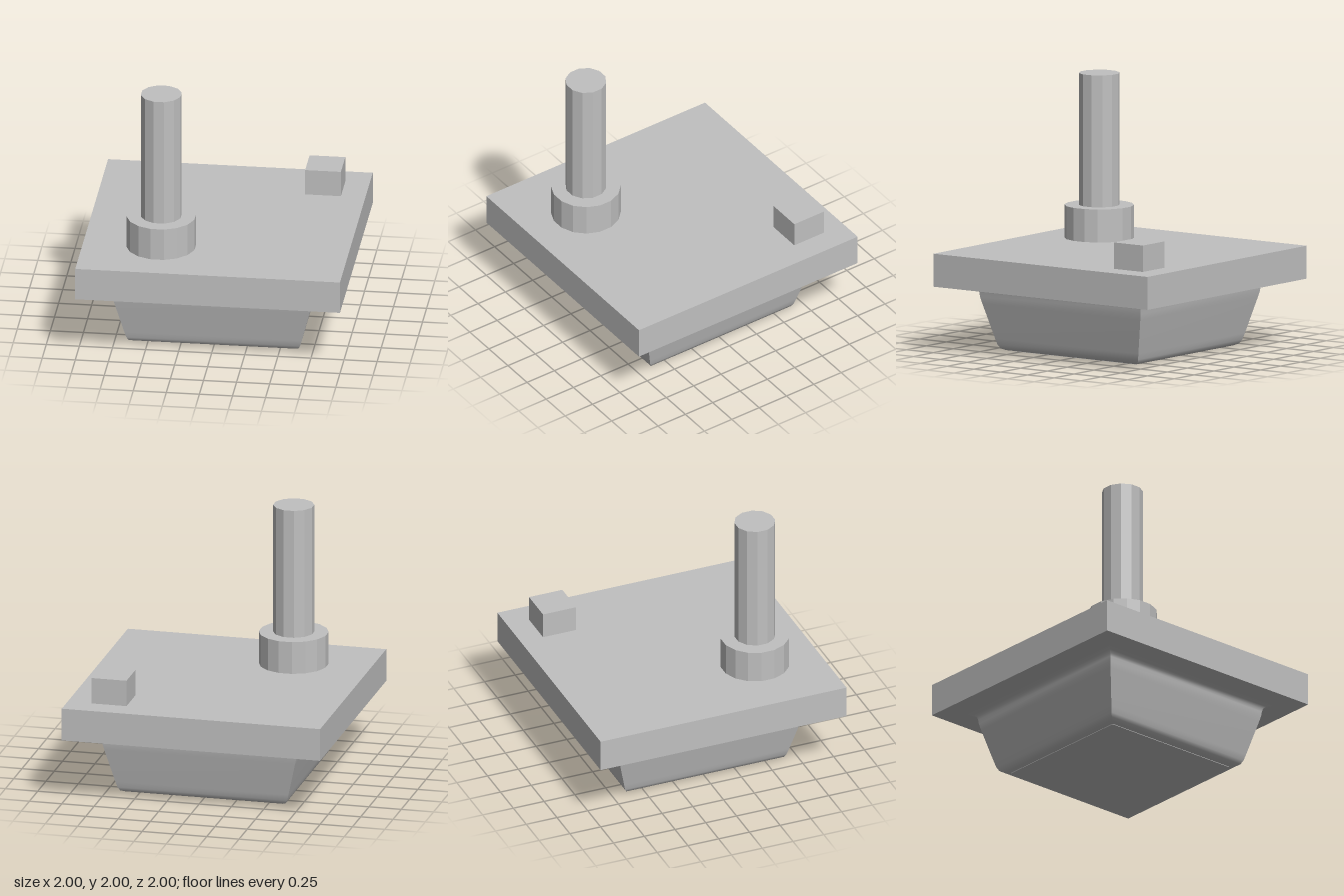
import * as THREE from 'three';

export function createModel() {
  const model = new THREE.Group();
  const grey = new THREE.MeshStandardMaterial({ color: 0xc0c0c0 });
  grey.name = 'plain grey';

  const add = (name, geometry, x = 0, y = 0, z = 0) => {
    const mesh = new THREE.Mesh(geometry, grey);
    mesh.name = name;
    mesh.position.set(x, y, z);
    model.add(mesh);
    return mesh;
  };

  // Faceted upright cylinder with a flat side facing each axis
  const prism = (radius, height, sides) => {
    const g = new THREE.CylinderGeometry(radius, radius, height, sides, 1, false, Math.PI / sides).toNonIndexed();
    g.computeVertexNormals();
    return g;
  };

  // Square plate with the small block in its back left corner
  add('plate', new THREE.BoxGeometry(2, 0.25, 2), 0, 0.625, 0);
  add('cornerBlock', new THREE.BoxGeometry(0.27, 0.2, 0.27), 0.68, 0.85, -0.685);

  // Collar and post
  add('collar', prism(0.262, 0.25, 16), -0.412, 0.875, 0.5);
  add('post', prism(0.155, 1, 12), -0.412, 1.5, 0.5);

  // Tapered basin below the plate: half width and height along its profile
  const profile = [
    [0.58, 0.004], [0.612, 0.008], [0.64, 0.022], [0.656, 0.05], [0.67, 0.1],
    [0.738, 0.365], [0.75, 0.415], [0.754, 0.45], [0.76, 0.475], [0.777, 0.492], [0.82, 0.502],
  ];
  const positions = [];
  const indices = [];
  profile.forEach(([w, y], i) => {
    positions.push(-w, y, w, w, y, w);
    if (i > 0) {
      const a = 2 * (i - 1);
      indices.push(a, a + 1, a + 3, a, a + 3, a + 2);
    }
  });
  const side = new THREE.BufferGeometry();
  side.setAttribute('position', new THREE.Float32BufferAttribute(positions, 3));
  side.setIndex(indices);
  side.computeVertexNormals();
  for (let i = 0; i < 4; i++) {
    add('basinSide' + (i + 1), side).rotation.y = (i * Math.PI) / 2;
  }

  // Flat basin floor, facing down
  const floor = new THREE.BoxGeometry(1.16, 0.01, 1.16);
  add('basinFloor', floor, 0, 0.005, 0);

  return model;
}
